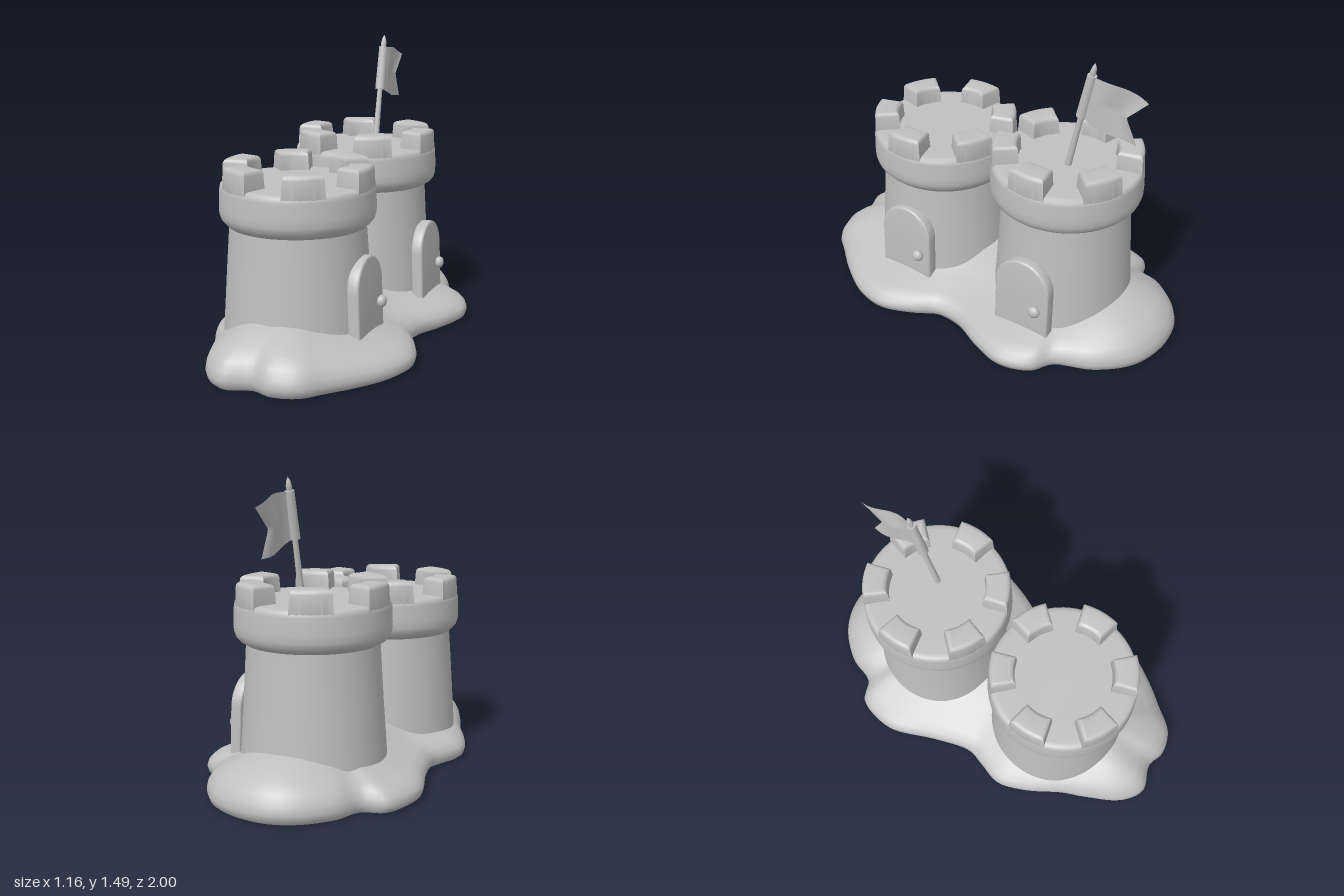
import * as THREE from 'three';
import { toCreasedNormals } from 'three/addons/utils/BufferGeometryUtils.js';

const sand = new THREE.MeshStandardMaterial({ color: 0xc0c0c0 });
sand.name = 'grey sand';
const cloth = new THREE.MeshStandardMaterial({ color: 0xc0c0c0, side: THREE.DoubleSide });
cloth.name = 'grey cloth';

function add(parent, name, geometry, material = sand) {
  const mesh = new THREE.Mesh(geometry, material);
  mesh.name = name;
  parent.add(mesh);
  return mesh;
}

// Wavy outline of the mound as [x, z], from the back round the left side
const OUTLINE = [
  [-0.03, -1], [0.2, -0.945], [0.35, -0.79], [0.43, -0.6], [0.53, -0.53], [0.58, -0.37],
  [0.53, -0.2], [0.455, -0.04], [0.445, 0.1], [0.51, 0.22], [0.566, 0.39], [0.53, 0.56],
  [0.43, 0.72], [0.32, 0.85], [0.23, 0.95], [0.1, 0.985], [0, 0.955], [-0.14, 0.995],
  [-0.25, 0.92], [-0.34, 0.74], [-0.39, 0.61], [-0.48, 0.44], [-0.526, 0.28], [-0.485, 0.15],
  [-0.455, 0.05], [-0.5, -0.15], [-0.577, -0.38], [-0.57, -0.5], [-0.52, -0.62],
  [-0.41, -0.67], [-0.35, -0.81], [-0.2, -0.955],
];

// Rings shrink from the outline to a spine; each is [shrink, height at sides, height at ends]
function moundGeometry(rings) {
  const curve = new THREE.CatmullRomCurve3(OUTLINE.map(([x, z]) => new THREE.Vector3(x, 0, z)), true);
  const n = 160, pts = curve.getPoints(n), pos = [], index = [];
  for (const [t, side, end] of rings) {
    for (const p of pts.slice(0, n)) {
      const cx = -0.02, cz = THREE.MathUtils.clamp(p.z, -0.39, 0.39);
      const dx = p.x - cx, dz = p.z - cz;
      const f = (dz * dz) / (dx * dx + dz * dz);
      pos.push(p.x - dx * t, side + (end - side) * f, p.z - dz * t);
    }
  }
  for (let r = 0; r < rings.length - 1; r++) {
    for (let i = 0; i < n; i++) {
      const j = (i + 1) % n, a = r * n + i, b = r * n + j;
      index.push(a, a + n, b, b, a + n, b + n);
    }
  }
  const g = new THREE.BufferGeometry();
  g.setAttribute('position', new THREE.Float32BufferAttribute(pos, 3));
  g.setIndex(index);
  g.computeVertexNormals();
  return g;
}

// Rounded wedge of the parapet, standing on y = 0 at angle 0 and narrowing upward
function merlonGeometry() {
  const half = 0.225, height = 0.16, bevel = 0.022;
  const shape = new THREE.Shape();
  shape.absarc(0, 0, 0.353, -half, half, false);
  shape.absarc(0, 0, 0.262, half, -half, true);
  const g = new THREE.ExtrudeGeometry(shape, {
    depth: height - bevel, bevelSize: bevel, bevelThickness: bevel, bevelSegments: 4, curveSegments: 8,
  });
  g.rotateX(-Math.PI / 2);
  const p = g.attributes.position;
  for (let i = 0; i < p.count; i++) {
    const k = Math.max(0, p.getY(i)) / height;
    p.setZ(i, p.getZ(i) * (1 - 0.1 * k));
    p.setX(i, 0.31 + (p.getX(i) - 0.31) * (1 - 0.1 * k));
  }
  return toCreasedNormals(g, 0.7);
}

// Arched slab facing +x with its foot at y = 0
function doorGeometry() {
  const w = 0.143, straight = 0.235;
  const s = new THREE.Shape();
  s.moveTo(-w, 0);
  s.lineTo(w, 0);
  s.lineTo(w, straight);
  s.absarc(0, straight, w, 0, Math.PI, false);
  s.closePath();
  const g = new THREE.ExtrudeGeometry(s, {
    depth: 0.04, bevelSize: 0.01, bevelThickness: 0.01, bevelSegments: 3, curveSegments: 20,
  });
  g.rotateY(Math.PI / 2);
  return toCreasedNormals(g, 0.7);
}

function tower(name, { x, z, lift, foot, neck, doorX, doorZ, knobX, knobZ, turn }) {
  const g = new THREE.Group();
  g.name = name;
  const v = ([r, y]) => new THREE.Vector2(r, y);

  const body = new THREE.Group();
  body.name = name + 'Body';
  body.position.set(x, 0, z);
  g.add(body);
  add(body, 'wall', new THREE.LatheGeometry([
    [foot + 0.01, 0.05], [foot, 0.2], [(foot + neck) / 2, 0.43], [neck, 0.64 + lift], [neck, 0.7 + lift],
  ].map(v), 64));

  // Flared parapet with a flush floor
  const parapet = add(body, 'parapet', new THREE.LatheGeometry([
    [neck - 0.02, 0.645], [neck + 0.005, 0.645], [0.355, 0.662], [0.37, 0.68], [0.378, 0.705], [0.379, 0.74],
    [0.376, 0.82], [0.372, 0.84], [0.362, 0.85], [0.34, 0.853], [0.25, 0.853], [0, 0.856],
  ].map(v), 72));
  parapet.position.y = lift;

  const merlon = merlonGeometry();
  for (let i = 0; i < 6; i++) {
    const m = add(body, 'merlon', merlon);
    m.position.y = 0.785 + lift;
    m.rotation.y = turn + (i * Math.PI) / 3;
  }

  const door = add(g, 'door', doorGeometry());
  door.position.set(doorX, 0.13, doorZ);
  door.rotation.z = 0.04;
  const knob = add(g, 'doorKnob', new THREE.SphereGeometry(0.031, 20, 14));
  knob.scale.set(0.75, 1, 1);
  knob.position.set(knobX, 0.272, knobZ);
  return g;
}

// Swallow-tailed pennant rippling toward the back
function flagGeometry() {
  const g = new THREE.PlaneGeometry(1, 1, 16, 16), p = g.attributes.position;
  for (let i = 0; i < p.count; i++) {
    const u = p.getX(i) + 0.5, w = p.getY(i) + 0.5;
    const z0 = -0.485 - 0.055 * w;
    const y0 = 1.205 + 0.22 * w;
    const z1 = w < 0.55 ? -0.77 + 0.06 * (w / 0.55) : -0.71 - 0.105 * ((w - 0.55) / 0.45);
    const y1 = 1.14 + 0.23 * w;
    const bow = 0.016 * Math.sin(Math.PI * u) * (2 * w - 1);
    p.setXYZ(i, 0.042 + 0.012 * Math.sin(u * 6), y0 + (y1 - y0) * u + bow, z0 + (z1 - z0) * u);
  }
  g.computeVertexNormals();
  return g;
}

export function createModel() {
  const model = new THREE.Group();
  model.name = 'sandCastle';

  // Sand mound and its flat underside
  add(model, 'mound', moundGeometry([
    [0.05, 0, 0], [0.015, 0.014, 0.018], [0, 0.04, 0.05], [0.015, 0.065, 0.09], [0.06, 0.09, 0.135],
    [0.15, 0.115, 0.18], [0.32, 0.14, 0.225], [0.5, 0.185, 0.25], [0.75, 0.25, 0.265], [1, 0.27, 0.27],
  ]));
  add(model, 'moundUnderside', moundGeometry([[1, 0, 0], [0.05, 0, 0]]));

  model.add(tower('frontTower', {
    x: -0.045, z: 0.373, lift: 0, foot: 0.362, neck: 0.332, turn: 0,
    doorX: 0.295, doorZ: 0.374, knobX: 0.357, knobZ: 0.284,
  }));
  model.add(tower('backTower', {
    x: -0.008, z: -0.39, lift: 0.065, foot: 0.354, neck: 0.322, turn: -0.04,
    doorX: 0.34, doorZ: -0.38, knobX: 0.4, knobZ: -0.466,
  }));

  // Leaning flagpole
  const pole = new THREE.Group();
  pole.name = 'flagpole';
  pole.position.set(0.037, 0.9, -0.415);
  pole.rotation.x = -0.205;
  model.add(pole);
  add(pole, 'shaft', new THREE.CylinderGeometry(0.013, 0.017, 0.36, 16)).position.y = 0.15;
  add(pole, 'flagSleeve', new THREE.CylinderGeometry(0.023, 0.026, 0.23, 16)).position.y = 0.425;
  add(pole, 'tip', new THREE.LatheGeometry(
    [[0.011, 0.53], [0.015, 0.56], [0.01, 0.585], [0, 0.605]].map(([r, y]) => new THREE.Vector2(r, y)), 16));
  add(model, 'flag', flagGeometry(), cloth);

  return model;
}
